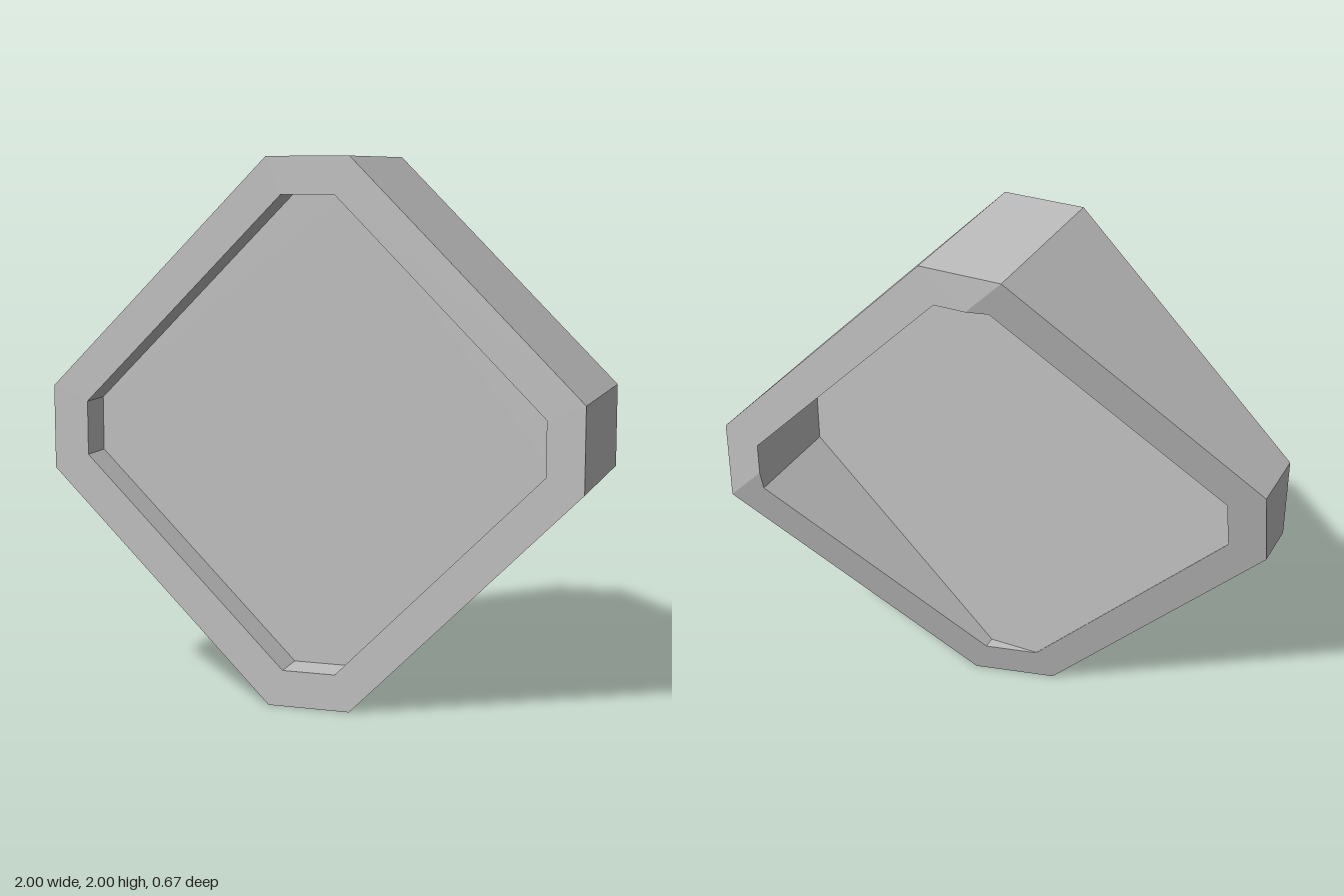
import * as THREE from 'three';

const FRONT = 0.337, BACK = -0.337, MID_Y = 1;
const OUTER = 1, OUTER_FLAT = 0.155;   // half width and half length of the short sides
const INNER = 0.865, INNER_FLAT = 0.1;
const FOLD = OUTER - OUTER_FLAT;       // x + y of the crease on the back
const SLOPE = 0.24;

// Octagon corners, counter-clockwise seen from the front
const octagon = (h, c) => [
  [h, -c], [h, c], [c, h], [-c, h], [-h, c], [-h, -c], [-c, -h], [c, -h],
].map(([x, y]) => new THREE.Vector2(x, y));

// Back face: flat towards the upper left of the model, then sloping forward
const backZ = (p) => BACK + SLOPE * Math.max(0, FOLD - p.x - p.y);

function frameGeometry() {
  const outer = octagon(OUTER, OUTER_FLAT);
  const inner = octagon(INNER, INNER_FLAT);
  // Extra inner points where the crease crosses the rim
  inner.splice(3, 0, new THREE.Vector2(FOLD - INNER, INNER));
  inner.splice(1, 0, new THREE.Vector2(INNER, FOLD - INNER));
  outer.splice(3, 0, outer[3]);
  outer.splice(1, 0, outer[0]);

  const positions = [];
  const tri = (a, b, c) => {
    if (a.equals(b) || b.equals(c) || a.equals(c)) return;
    for (const v of [a, b, c]) positions.push(v.x, v.y, v.z);
  };
  const quad = (a, b, c, d) => { tri(a, b, c); tri(a, c, d); };
  const front = (p) => new THREE.Vector3(p.x, p.y, FRONT);
  const back = (p) => new THREE.Vector3(p.x, p.y, backZ(p));

  for (let i = 0; i < outer.length; i++) {
    const j = (i + 1) % outer.length;
    const [oi, oj, ni, nj] = [outer[i], outer[j], inner[i], inner[j]];
    quad(front(oi), back(oi), back(oj), front(oj)); // outer wall
    quad(front(ni), front(nj), back(nj), back(ni)); // inner wall
    quad(front(oi), front(oj), front(nj), front(ni)); // front rim
    quad(back(oi), back(ni), back(nj), back(oj)); // back rim
  }
  const geometry = new THREE.BufferGeometry();
  geometry.setAttribute('position', new THREE.Float32BufferAttribute(positions, 3));
  geometry.computeVertexNormals();
  return geometry;
}

export function createModel() {
  const model = new THREE.Group();
  model.name = 'wedgeHousing';
  const grey = new THREE.MeshStandardMaterial({ color: 0xc0c0c0 });
  grey.name = 'light grey';

  // Octagonal frame with a slanted back
  const frame = new THREE.Mesh(frameGeometry(), grey);
  frame.name = 'frame';
  frame.position.y = MID_Y;

  // Recessed panel filling the opening
  const panel = new THREE.Mesh(
    new THREE.ExtrudeGeometry(new THREE.Shape(octagon(INNER, INNER_FLAT)), { depth: 0.1, bevelEnabled: false }),
    grey,
  );
  panel.name = 'panel';
  panel.position.set(0, MID_Y, 0.1);

  model.add(frame, panel);
  return model;
}
